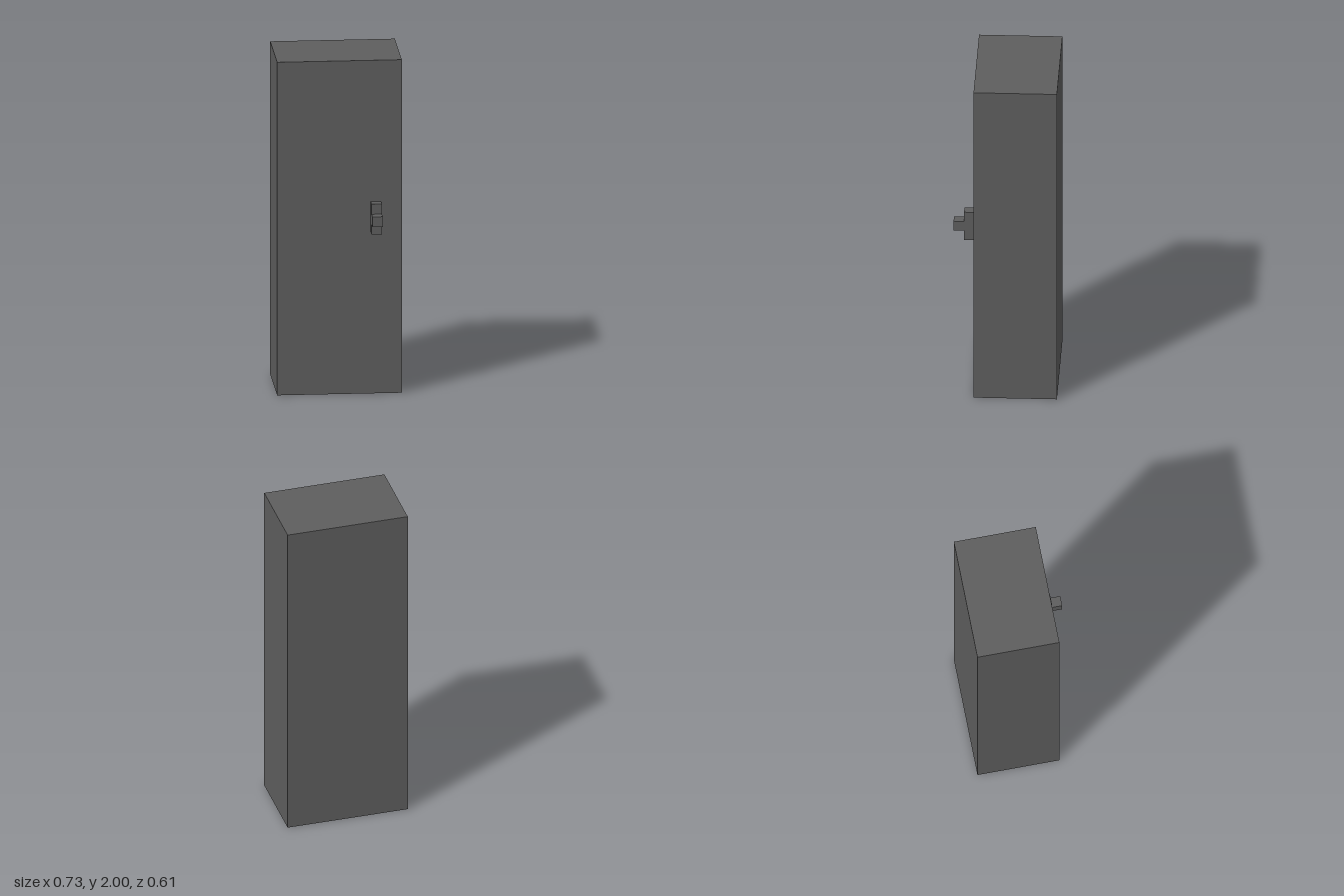
import * as THREE from 'three';

const U = 2 / 33; // one block unit; the cabinet is 33 units tall

export function createModel() {
  const model = new THREE.Group();
  model.name = 'cabinet';
  const darkGrey = new THREE.MeshStandardMaterial({ color: 0x5e5e5e });
  darkGrey.name = 'dark grey';

  // Adds a box between two corners given in block units
  const addBox = (parent, name, min, max) => {
    const size = max.map((v, i) => (v - min[i]) * U);
    const mesh = new THREE.Mesh(new THREE.BoxGeometry(...size), darkGrey);
    mesh.position.set(...max.map((v, i) => ((v + min[i]) / 2) * U));
    mesh.name = name;
    parent.add(mesh);
  };

  // Tall plain body
  addBox(model, 'body', [-6, 0, -5], [6, 33, 3]);

  // Door handle: upright plate with a knob
  const handle = new THREE.Group();
  handle.name = 'handle';
  addBox(handle, 'handlePlate', [3, 16, 3], [4, 19, 4]);
  addBox(handle, 'handleKnob', [3, 17, 4], [4, 18, 5]);
  model.add(handle);

  return model;
}
